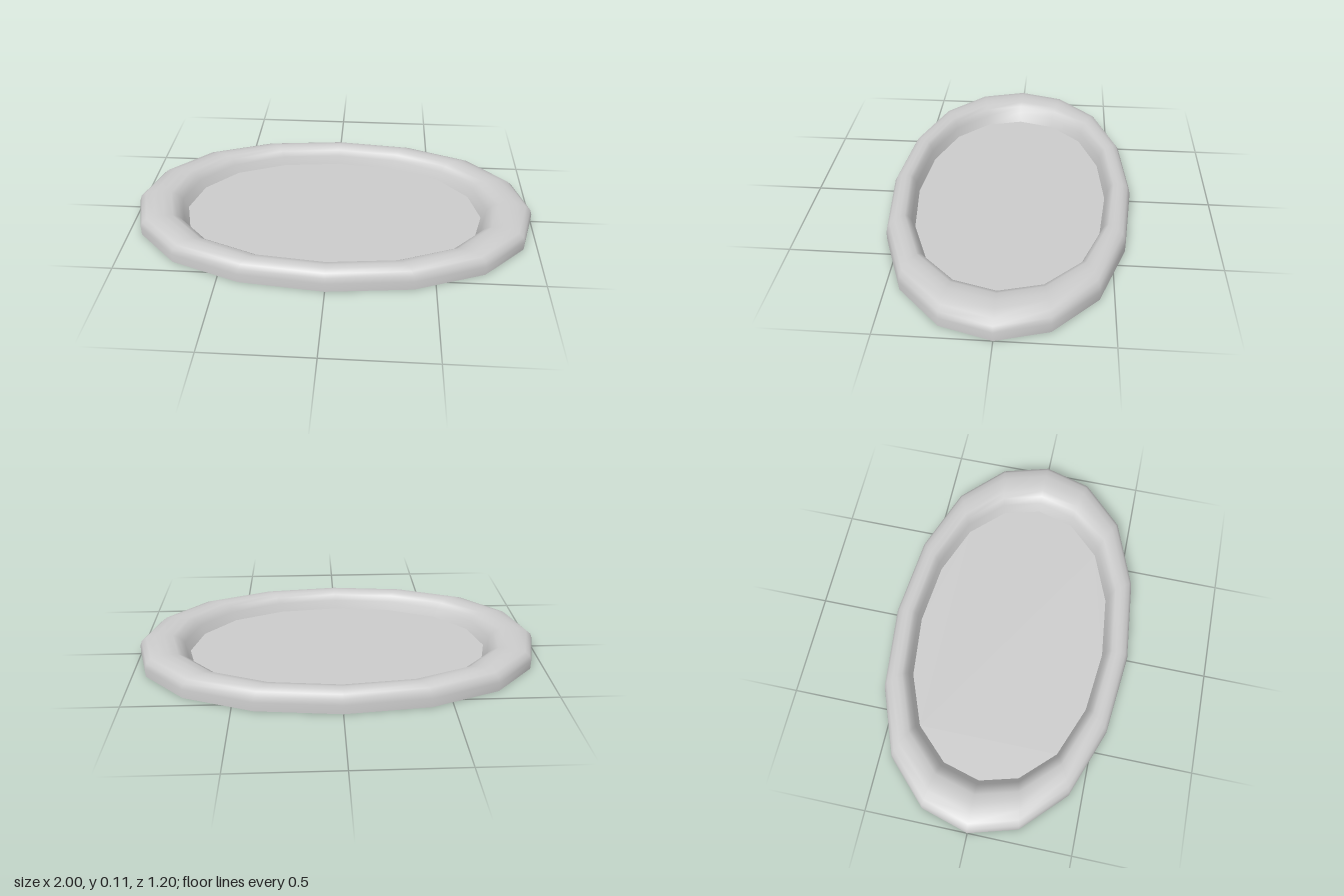
import * as THREE from 'three';

// One quarter of the 16-sided oval outline, on a unit circle scale
const QUARTER = [[1, 0], [0.933, 0.39], [0.73, 0.725], [0.4, 0.932]];
const FLOOR_Y = 0.012;

// Full outline, made by turning the quarter round the centre
function outline() {
  const pts = [];
  for (let q = 0; q < 4; q++) {
    for (let i = 0; i < 4; i++) {
      const [a, b] = q % 2 === 0 ? QUARTER[i] : [QUARTER[(4 - i) % 4][0], QUARTER[(4 - i) % 4][1]];
      const x = q % 2 === 1 && i === 0 ? 0 : a;
      const z = q % 2 === 1 && i === 0 ? 1 : b;
      const sx = q === 1 || q === 2 ? -1 : 1;
      const sz = q >= 2 ? -1 : 1;
      pts.push([x * sx, z * sz]);
    }
  }
  return pts;
}

// Semi-axes at t: 0 is the outer edge, 1 the edge of the sunken floor
const axes = (t) => [1 - 0.25 * t, 0.6 - 0.125 * t];

// Rounded rim: the section swept round the oval with smooth normals
function rimGeometry(pts) {
  const section = [
    [0, 0], [0, 0.045], [0.04, 0.072], [0.14, 0.092], [0.32, 0.104], [0.5, 0.106],
    [0.68, 0.102], [0.8, 0.088], [0.9, 0.058], [1, FLOOR_Y],
  ];
  const pos = [], idx = [], n = pts.length;
  for (const [t, y] of section) {
    const [ax, az] = axes(t);
    for (const [x, z] of pts) pos.push(x * ax, y, z * az);
  }
  for (let r = 0; r < section.length - 1; r++) {
    for (let i = 0; i < n; i++) {
      const a = r * n + i, b = r * n + (i + 1) % n, c = a + n, d = b + n;
      idx.push(a, c, b, b, c, d);
    }
  }
  const g = new THREE.BufferGeometry();
  g.setAttribute('position', new THREE.Float32BufferAttribute(pos, 3));
  g.setIndex(idx);
  g.computeVertexNormals();
  return g;
}

// Flat oval panel, facing up or down
function panelGeometry(pts, t, y, up) {
  const [ax, az] = axes(t);
  const shape = new THREE.Shape(pts.map(([x, z]) => new THREE.Vector2(x * ax, z * az)));
  const g = new THREE.ShapeGeometry(shape);
  g.rotateX(up ? -Math.PI / 2 : Math.PI / 2);
  g.translate(0, y, 0);
  return g;
}

export function createModel() {
  const group = new THREE.Group();
  group.name = 'ovalTray';
  const material = new THREE.MeshStandardMaterial({ color: 0xcccccc });
  const pts = outline();
  const add = (name, geometry) => {
    const mesh = new THREE.Mesh(geometry, material);
    mesh.name = name;
    group.add(mesh);
  };
  add('rim', rimGeometry(pts));
  add('floor', panelGeometry(pts, 1, FLOOR_Y, true));
  add('underside', panelGeometry(pts, 0, 0, false));
  return group;
}
